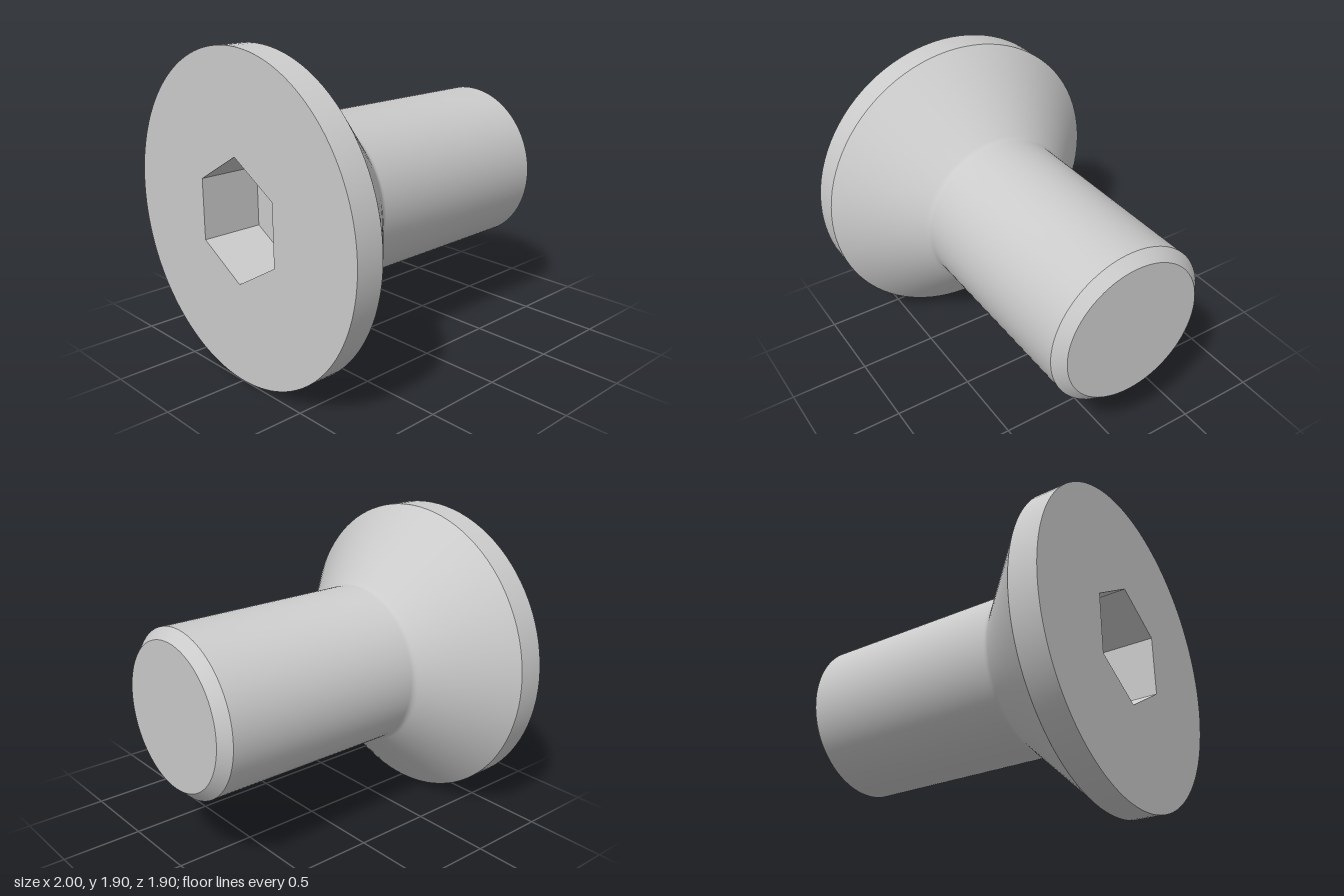
import * as THREE from 'three';
import { toCreasedNormals } from 'three/addons/utils/BufferGeometryUtils.js';

const SEGMENTS = 96;
const HEAD_R = 0.952;
const SOCKET_R = 0.364;
const SOCKET_FLOOR = -0.62;

// Revolve a profile of [x along the axis, radius] pairs about the x axis
function revolve(profile, segments, phiStart = 0) {
  const points = profile.map(([x, r]) => new THREE.Vector2(r, x));
  return new THREE.LatheGeometry(points, segments, phiStart).rotateZ(-Math.PI / 2);
}

export function createModel() {
  const group = new THREE.Group();
  group.name = 'countersunkScrew';
  const material = new THREE.MeshStandardMaterial({ color: 0xcccccc });

  const add = (name, geometry, mat = material) => {
    const mesh = new THREE.Mesh(geometry, mat);
    mesh.name = name;
    mesh.position.y = HEAD_R;
    group.add(mesh);
  };

  // Head rim, countersunk cone, small neck fillet, shank and chamfered tip
  const body = revolve([
    [-1, HEAD_R], [-0.83, HEAD_R],
    [-0.399, 0.521], [-0.388, 0.511], [-0.375, 0.504], [-0.358, 0.5],
    [0.937, 0.5], [1, 0.438], [1, 0],
  ], SEGMENTS);
  add('headAndShank', toCreasedNormals(body, 0.45));

  // Flat head face with a hexagonal opening, corners pointing up and down
  const face = new THREE.Shape().absarc(0, 0, HEAD_R, 0, Math.PI * 2, false);
  const hexagon = Array.from({ length: 6 }, (_, i) => {
    const a = Math.PI / 2 - i * Math.PI / 3;
    return new THREE.Vector2(Math.cos(a) * SOCKET_R, Math.sin(a) * SOCKET_R);
  });
  face.holes.push(new THREE.Path(hexagon));
  add('headFace', new THREE.ShapeGeometry(face, SEGMENTS).rotateY(-Math.PI / 2).translate(-1, 0, 0));

  // Hex socket: floor, then walls out to the head face
  const socketMaterial = material.clone();
  socketMaterial.flatShading = true;
  add('hexSocket', revolve([[SOCKET_FLOOR, 0], [SOCKET_FLOOR, SOCKET_R], [-1, SOCKET_R]], 6, Math.PI / 2), socketMaterial);

  return group;
}
